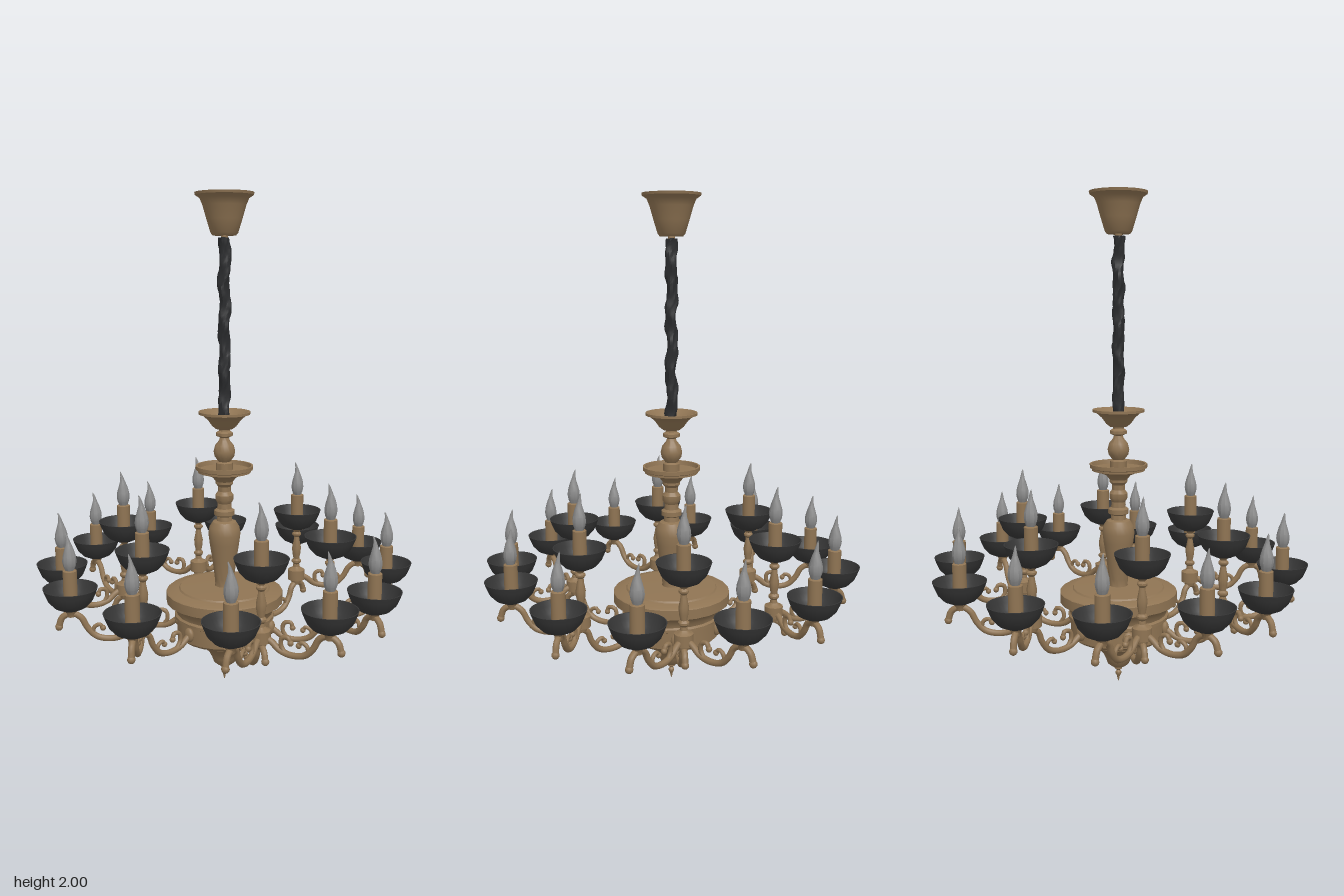
import * as THREE from 'three';
import { toCreasedNormals } from 'three/addons/utils/BufferGeometryUtils.js';

const bronze = new THREE.MeshStandardMaterial({ color: 0x8f7453 });
const blackMetal = new THREE.MeshStandardMaterial({ color: 0x363636, side: THREE.DoubleSide });
const sleeveCloth = new THREE.MeshStandardMaterial({ color: 0x2c2d2f });
const bulbGlass = new THREE.MeshStandardMaterial({ color: 0x8c8c8c });

const deg = Math.PI / 180;

function part(name, geometry, material) {
  const mesh = new THREE.Mesh(geometry, material);
  mesh.name = name;
  return mesh;
}

// Turned shape from [radius, height] pairs, listed from the bottom up the outside
function turned(pairs, segments = 24) {
  const points = pairs.map(([r, y]) => new THREE.Vector2(r, y));
  return toCreasedNormals(new THREE.LatheGeometry(points, segments), 35 * deg);
}

// Round bar through [distance, height] pairs in the XY plane
function bar(pairs, radius, steps = 28) {
  const curve = new THREE.CatmullRomCurve3(pairs.map(([x, y]) => new THREE.Vector3(x, y, 0)));
  return new THREE.TubeGeometry(curve, steps, radius, 8);
}

// Shared geometries for repeated parts; cup heights start at the cup's underside
const cupGeometry = turned([
  [0, 0], [0.035, 0.002], [0.062, 0.015], [0.085, 0.04], [0.097, 0.068], [0.104, 0.088],
  [0.1, 0.088], [0.092, 0.068], [0.08, 0.044], [0.058, 0.02], [0.034, 0.008], [0, 0.007],
], 32);
const candleGeometry = turned([[0, 0.004], [0.027, 0.004], [0.027, 0.155], [0.022, 0.158], [0, 0.158]], 16);

const bulbGeometry = (() => {
  const g = turned([
    [0, 0], [0.017, 0], [0.024, 0.018], [0.027, 0.035], [0.025, 0.055], [0.018, 0.08],
    [0.01, 0.103], [0.006, 0.122], [0.003, 0.137], [0, 0.145],
  ], 10);
  // Bend the tip sideways
  const p = g.attributes.position;
  for (let i = 0; i < p.count; i++) {
    const t = Math.max(0, p.getY(i) - 0.08) / 0.065;
    p.setX(i, p.getX(i) - 0.009 * t * t);
    p.setZ(i, p.getZ(i) + 0.007 * t * t);
  }
  return g;
})();

const postGeometry = turned([
  [0, 0.325], [0.02, 0.325], [0.024, 0.34], [0.037, 0.343], [0.037, 0.388], [0.024, 0.394],
  [0.015, 0.402], [0.013, 0.415], [0.021, 0.424], [0.021, 0.432], [0.013, 0.44],
  [0.018, 0.465], [0.02, 0.49], [0.013, 0.525], [0.011, 0.54], [0.02, 0.55],
  [0.02, 0.557], [0.012, 0.564], [0.026, 0.58], [0, 0.58],
], 16);
const collarGeometry = turned([[0, 0.405], [0.015, 0.405], [0.018, 0.42], [0.03, 0.436], [0, 0.438]], 16);

// A scrolling arm bar with its curls and end beads
const mainArmGeometry = bar([
  [0.185, 0.265], [0.215, 0.245], [0.25, 0.222], [0.305, 0.213], [0.36, 0.228], [0.395, 0.27],
  [0.412, 0.312], [0.44, 0.328], [0.473, 0.315], [0.488, 0.283],
], 0.0125, 40);
const mainCurlGeometry = bar([[0.27, 0.216], [0.25, 0.25], [0.258, 0.28], [0.285, 0.283], [0.292, 0.262]], 0.009, 16);
const mainHookGeometry = bar([[0.375, 0.237], [0.366, 0.262], [0.345, 0.27], [0.335, 0.256]], 0.008, 12);
const branchGeometry = bar([
  [0.02, 0.362], [0.045, 0.35], [0.08, 0.324], [0.13, 0.314], [0.18, 0.325], [0.213, 0.358],
  [0.237, 0.4], [0.272, 0.418], [0.308, 0.402], [0.322, 0.366],
], 0.0125, 40);
const branchCurlGeometry = bar([[0.1, 0.317], [0.083, 0.345], [0.088, 0.374], [0.112, 0.379], [0.122, 0.36]], 0.009, 16);
const branchHookGeometry = bar([[0.195, 0.335], [0.187, 0.362], [0.167, 0.371], [0.155, 0.357]], 0.008, 12);
const beadGeometry = new THREE.SphereGeometry(0.015, 10, 8);

function bead(x, y, scale = 1) {
  const b = part('scrollBead', beadGeometry, bronze);
  b.position.set(x, y, 0);
  b.scale.setScalar(scale);
  return b;
}

// Cup, candle tube and flame-shaped bulb
function createLight(x, y, z) {
  const light = new THREE.Group();
  light.name = 'candleLight';
  const bulb = part('flameBulb', bulbGeometry, bulbGlass);
  bulb.position.y = 0.157;
  light.add(part('cup', cupGeometry, blackMetal), part('candleTube', candleGeometry, bronze), bulb);
  light.position.set(x, y, z);
  return light;
}

function createBranch(angle) {
  const branch = new THREE.Group();
  branch.name = 'branch';
  const collar = part('cupCollar', collarGeometry, bronze);
  collar.position.x = 0.275;
  branch.add(
    part('branchScroll', branchGeometry, bronze), part('branchCurl', branchCurlGeometry, bronze),
    part('branchHook', branchHookGeometry, bronze), collar,
    bead(0.322, 0.364), bead(0.122, 0.36, 0.8), bead(0.155, 0.357, 0.75),
  );
  branch.rotation.y = -angle;
  return branch;
}

// One arm with a tall light on its post and two lower lights on branches
function createArm(angle) {
  const arm = new THREE.Group();
  arm.name = 'arm';
  const beam = new THREE.Group();
  beam.name = 'mainArm';
  const boss = part('armBoss', new THREE.SphereGeometry(0.03, 12, 10), bronze);
  boss.scale.set(0.5, 1, 0.8);
  boss.position.set(0.202, 0.255, 0);
  beam.add(
    part('mainScroll', mainArmGeometry, bronze), part('mainCurl', mainCurlGeometry, bronze),
    part('mainHook', mainHookGeometry, bronze), boss,
    bead(0.488, 0.281), bead(0.292, 0.262, 0.8), bead(0.335, 0.256, 0.75),
  );
  beam.rotation.y = -angle;
  const x = 0.44 * Math.cos(angle), z = 0.44 * Math.sin(angle);
  const post = part('post', postGeometry, bronze);
  post.position.set(x, 0, z);
  arm.add(beam, post, createLight(x, 0.577, z));
  for (const side of [-1, 1]) {
    const a = angle + side * 42.3 * deg;
    const branch = createBranch(a);
    branch.position.set(x, 0, z);
    arm.add(branch, createLight(x + 0.275 * Math.cos(a), 0.432, z + 0.275 * Math.sin(a)));
  }
  return arm;
}

// Gathered cloth tube hiding the chain
function createSleeve() {
  const g = new THREE.CylinderGeometry(0.022, 0.022, 0.7, 14, 56);
  const p = g.attributes.position;
  for (let i = 0; i < p.count; i++) {
    const x = p.getX(i), y = p.getY(i), z = p.getZ(i);
    const a = Math.atan2(z, x);
    const k = 1 + 0.13 * Math.sin(3 * a + 34 * y) + 0.11 * Math.sin(2 * a - 57 * y + 1) + 0.07 * Math.sin(5 * a + 95 * y);
    p.setXYZ(i, x * k + 0.003 * Math.sin(29 * y), y, z * k + 0.003 * Math.cos(37 * y));
  }
  g.computeVertexNormals();
  const sleeve = part('chainSleeve', toCreasedNormals(g, 30 * deg), sleeveCloth);
  sleeve.position.y = 1.48;
  return sleeve;
}

export function createModel() {
  const model = new THREE.Group();
  model.name = 'chandelier';

  // Bottom finial, bowl and stepped drum
  model.add(part('finial', turned([
    [0, 0], [0.004, 0.012], [0.006, 0.025], [0.012, 0.035], [0.012, 0.043], [0.006, 0.05],
    [0.016, 0.058], [0.016, 0.066], [0.008, 0.075], [0, 0.08],
  ], 14), bronze));
  model.add(part('body', turned([
    [0, 0.068], [0.03, 0.071], [0.045, 0.083], [0.053, 0.105], [0.065, 0.13], [0.088, 0.153],
    [0.112, 0.17], [0.117, 0.19], [0.14, 0.195], [0.185, 0.203], [0.198, 0.215], [0.198, 0.283],
    [0.208, 0.288], [0.208, 0.3], [0.2, 0.307], [0.206, 0.325], [0.222, 0.345], [0.242, 0.356],
    [0.242, 0.396], [0.235, 0.401], [0.19, 0.408], [0.185, 0.414], [0, 0.42],
  ]), bronze));

  // Central vase and turned neck
  model.add(part('vaseColumn', turned([
    [0, 0.405], [0.042, 0.405], [0.038, 0.425], [0.04, 0.45], [0.05, 0.53], [0.061, 0.6],
    [0.066, 0.64], [0.062, 0.67], [0.048, 0.692], [0.032, 0.697], [0.03, 0.715], [0.042, 0.722],
    [0.042, 0.74], [0.03, 0.748], [0.028, 0.77], [0.037, 0.785], [0.037, 0.805], [0.026, 0.82],
    [0.026, 0.84], [0.036, 0.852], [0.036, 0.87], [0, 0.88],
  ]), bronze));
  model.add(part('tray', turned([
    [0, 0.862], [0.036, 0.862], [0.05, 0.88], [0.08, 0.893], [0.108, 0.9], [0.108, 0.908],
    [0.117, 0.912], [0.117, 0.927], [0.109, 0.927], [0.105, 0.91], [0, 0.908],
  ]), bronze));
  model.add(part('upperNeck', turned([
    [0, 0.905], [0.034, 0.905], [0.034, 0.938], [0.025, 0.944], [0.04, 0.965], [0.044, 0.985],
    [0.038, 1.01], [0.022, 1.03], [0.018, 1.042], [0.034, 1.05], [0.034, 1.062], [0.022, 1.07],
    [0.022, 1.085], [0, 1.09],
  ]), bronze));
  model.add(part('upperDish', turned([
    [0, 1.078], [0.035, 1.078], [0.05, 1.09], [0.068, 1.115], [0.09, 1.134], [0.105, 1.138],
    [0.105, 1.148], [0.098, 1.148], [0.085, 1.138], [0.062, 1.12], [0.042, 1.098], [0, 1.092],
  ]), bronze));
  model.add(part('chainStem', turned([[0, 1.085], [0.014, 1.085], [0.014, 1.15], [0, 1.15]], 12), bronze));

  model.add(createSleeve());

  // Open ceiling canopy
  model.add(part('ceilingCanopy', turned([
    [0, 1.815], [0.014, 1.815], [0.014, 1.838], [0.046, 1.838], [0.054, 1.848], [0.07, 1.9],
    [0.085, 1.952], [0.096, 1.978], [0.114, 1.99], [0.116, 2], [0.109, 2], [0.09, 1.978],
    [0.079, 1.952], [0.064, 1.9], [0.046, 1.85], [0, 1.846],
  ], 32), bronze));

  // Six arms around the body
  for (const a of [-87, -27.8, 27.8, 90.7, 150, 210]) model.add(createArm(a * deg));

  model.position.x = -0.01;
  const root = new THREE.Group();
  root.name = 'chandelierModel';
  root.add(model);
  return root;
}
